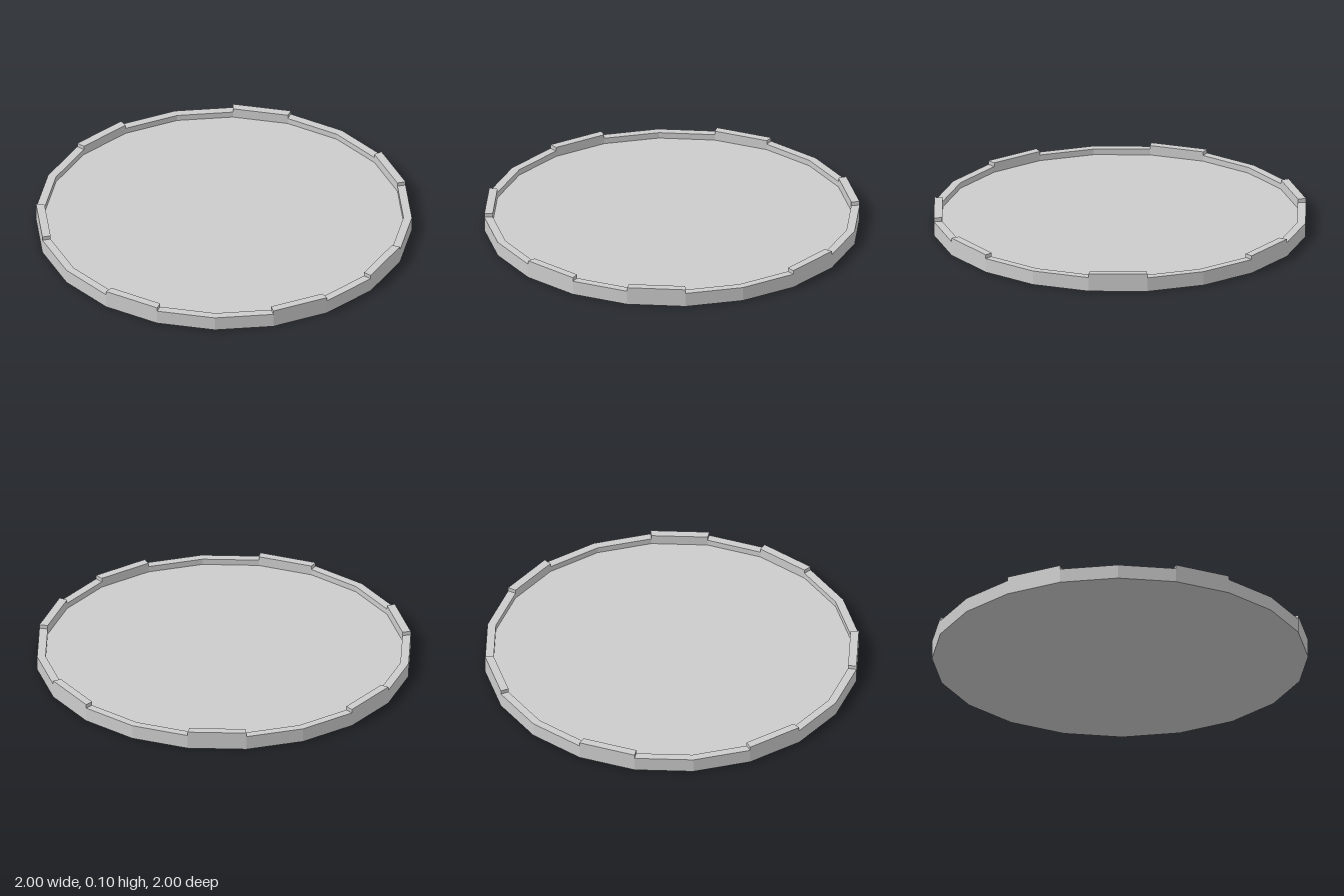
import * as THREE from 'three';

const SIDES = 20, OUTER = 1, INNER = 0.955;
const FLOOR = 0.045, RIM = 0.077, TOP = 0.098;
const RAISED = [0, 3, 5, 8, 11, 14, 17]; // rim sides that carry a raised block

export function createModel() {
  const group = new THREE.Group();
  const grey = new THREE.MeshStandardMaterial({ color: 0xcccccc });
  grey.name = 'light grey';

  // Dish: flat floor with a low rim, faceted
  const profile = [[0, 0], [OUTER, 0], [OUTER, RIM], [INNER, RIM], [INNER, FLOOR], [0, FLOOR]]
    .map(([r, y]) => new THREE.Vector2(r, y));
  const dishGeometry = new THREE.LatheGeometry(profile, SIDES).toNonIndexed();
  dishGeometry.computeVertexNormals();
  const dish = new THREE.Mesh(dishGeometry, grey);
  dish.name = 'dish';
  group.add(dish);

  // Raised blocks, each filling one side of the rim
  const corner = (r, i) => {
    const a = (i / SIDES) * Math.PI * 2;
    return new THREE.Vector2(r * Math.sin(a), -r * Math.cos(a));
  };
  RAISED.forEach((i) => {
    const shape = new THREE.Shape([
      corner(INNER, i), corner(OUTER, i), corner(OUTER, i + 1), corner(INNER, i + 1),
    ]);
    const geometry = new THREE.ExtrudeGeometry(shape, { depth: TOP - RIM, bevelEnabled: false });
    geometry.rotateX(-Math.PI / 2).translate(0, RIM, 0);
    const block = new THREE.Mesh(geometry, grey);
    block.name = 'rimBlock';
    group.add(block);
  });

  return group;
}
